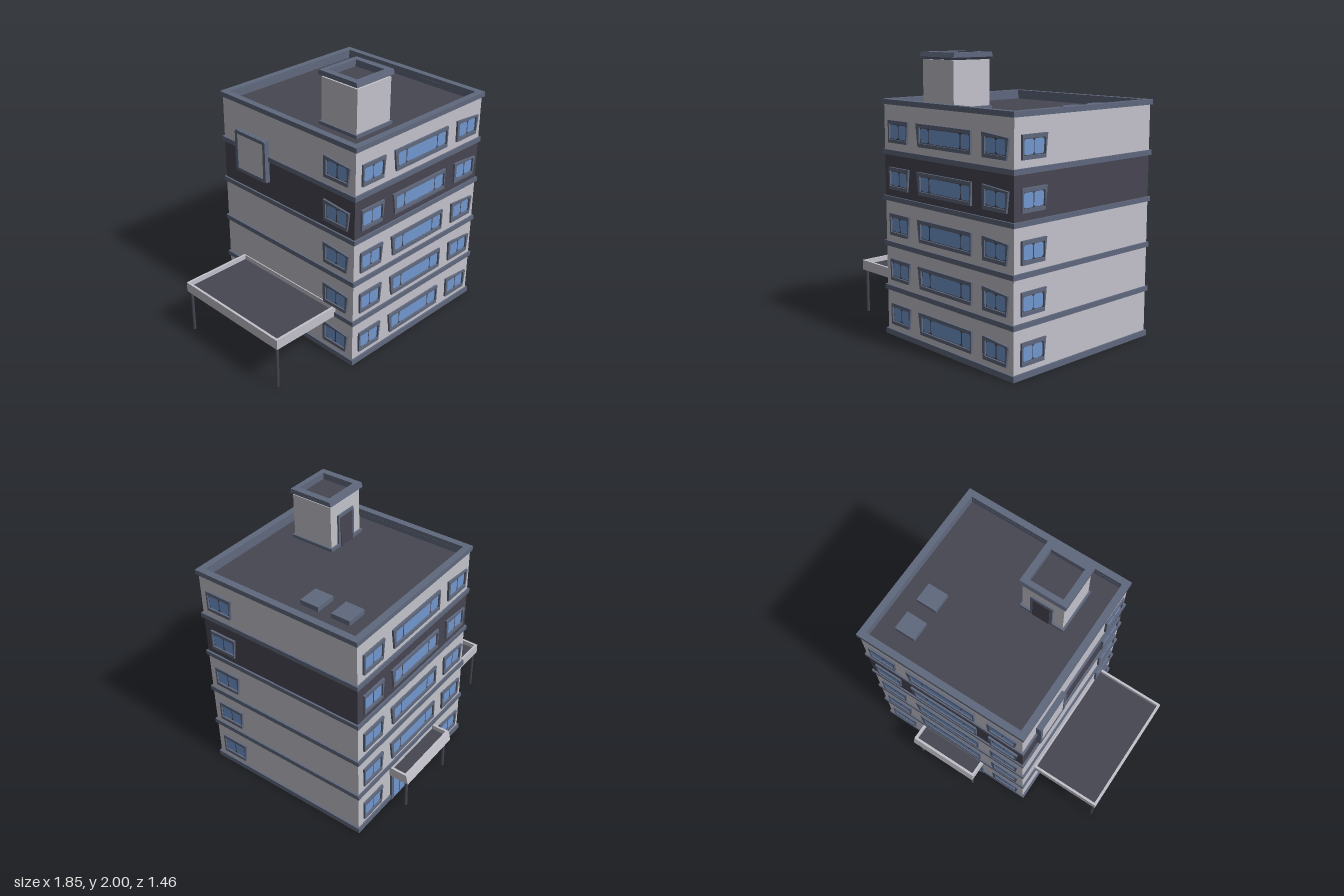
import * as THREE from 'three';

const mat = (name, color) => {
  const m = new THREE.MeshStandardMaterial({ color });
  m.name = name;
  return m;
};

export function createModel() {
  const wall = mat('pale wall', 0xc3c2cb);
  const trim = mat('slate trim', 0x60687e);
  const dark = mat('dark panel', 0x474652);
  const glass = mat('blue glass', 0x7198d0);
  const model = new THREE.Group();
  model.name = 'officeBuilding';

  // Building footprint
  const X0 = -0.38, X1 = 0.905, Z0 = -0.575, Z1 = 0.715;
  const CX = (X0 + X1) / 2, CZ = (Z0 + Z1) / 2;
  const ROOF = 1.61;

  const add = (name, geo, material, parent = model) => {
    const m = new THREE.Mesh(geo, material);
    m.name = name;
    parent.add(m);
    return m;
  };
  // Box given by its extents
  const box = (name, x0, x1, y0, y1, z0, z1, material, parent) => {
    const g = new THREE.BoxGeometry(x1 - x0, y1 - y0, z1 - z0);
    g.translate((x0 + x1) / 2, (y0 + y1) / 2, (z0 + z1) / 2);
    return add(name, g, material, parent);
  };
  const poly = (pts, Type = THREE.Shape) => new Type(pts.map(p => new THREE.Vector2(...p)));
  const rect = (x0, x1, y0, y1) => [[x0, y0], [x1, y0], [x1, y1], [x0, y1]];
  // Horizontal rectangular ring of wall thickness t
  const ring = (name, x0, x1, y0, y1, z0, z1, t, material, parent) => {
    const s = poly(rect(x0, x1, -z1, -z0));
    s.holes.push(poly(rect(x0 + t, x1 - t, -z1 + t, -z0 - t), THREE.Path));
    const g = new THREE.ExtrudeGeometry(s, { depth: y1 - y0, bevelEnabled: false });
    g.rotateX(-Math.PI / 2).translate(0, y0, 0);
    return add(name, g, material, parent);
  };

  // Storeys and slate bands
  const bands = [[0, 0.04], [0.33, 0.365], [0.65, 0.685], [0.975, 1.008], [1.298, 1.333]];
  const levels = [0.01, 0.347, 0.667, 0.99, 1.315, ROOF];
  for (let i = 0; i < 5; i++) {
    box('storey', X0, X1, levels[i], levels[i + 1], Z0, Z1, i === 3 ? dark : wall);
    const [a, b] = bands[i];
    box('floorBand', X0 - 0.013, X1 + 0.013, a, b, Z0 - 0.012, Z1 + 0.013, trim);
  }

  // Roof and parapet
  box('roofDeck', X0 + 0.03, X1 - 0.03, ROOF, ROOF + 0.004, Z0 + 0.03, Z1 - 0.03, dark);
  ring('parapetWall', X0, X1, ROOF, 1.65, Z0, Z1, 0.02, wall);
  ring('parapetLining', X0 + 0.02, X1 - 0.02, ROOF, 1.65, Z0 + 0.02, Z1 - 0.02, 0.015, trim);
  ring('parapetCap', X0 - 0.015, X1 + 0.015, 1.645, 1.68, Z0 - 0.012, Z1 + 0.015, 0.049, trim);
  for (const z of [-0.40, -0.155]) {
    box('roofVent', 0.59, 0.745, ROOF, 1.65, z, z + 0.143, trim);
  }

  // Stair tower on the roof
  const tower = new THREE.Group();
  tower.name = 'stairTower';
  model.add(tower);
  box('towerBase', -0.193, 0.153, ROOF, 1.638, 0.197, 0.542, trim, tower);
  box('towerBody', -0.18, 0.14, ROOF, 1.95, 0.21, 0.53, wall, tower);
  box('towerRoof', -0.16, 0.12, 1.95, 1.953, 0.23, 0.51, dark, tower);
  const cap = ring('towerCap', -0.197, 0.157, 1.94, 2, 0.193, 0.543, 0.048, trim, tower);
  // Cap sides lean inward towards the top and back to the walls below
  const cp = cap.geometry.attributes.position;
  for (let i = 0; i < cp.count; i++) {
    const out = Math.abs(cp.getX(i) + 0.02) > 0.15 || Math.abs(cp.getZ(i) - 0.368) > 0.15;
    if (out && cp.getY(i) > 1.97) cp.setZ(i, 0.368 + (cp.getZ(i) - 0.368) * 0.95);
    if (out && cp.getY(i) < 1.97) cp.setY(i, 1.967);
  }
  cap.geometry.computeVertexNormals();
  box('towerDoorFrame', -0.10, 0.07, ROOF, 1.86, 0.197, 0.215, trim, tower);
  box('towerDoor', -0.08, 0.05, ROOF, 1.84, 0.193, 0.2, dark, tower);

  // Window types: slanted frame outline and pane spans
  const types = {
    slim: {
      outline: [[-0.105, -0.076], [0.095, -0.076], [0.112, 0.078], [-0.105, 0.078]],
      panes: [[-0.087, -0.003], [0.003, 0.086]],
    },
    wide: {
      outline: [[-0.265, -0.078], [0.26, -0.076], [0.263, 0.078], [-0.285, 0.078]],
      panes: [[-0.245, -0.165], [-0.157, 0.152], [0.16, 0.245]],
    },
    wedge: {
      outline: [[-0.115, -0.078], [0.1, -0.078], [0.117, 0.06], [-0.12, 0.08]],
      panes: [[-0.09, -0.003], [0.005, 0.087]],
    },
  };
  // Pane with clipped corners
  const paneShape = (a, b, h, c = 0.012) => poly([
    [a + c, -h], [b - c, -h], [b, -h + c], [b, h - c], [b - c, h], [a + c, h], [a, h - c], [a, -h + c]]);
  const H = 0.048;
  for (const t of Object.values(types)) {
    const a = t.panes[0][0] - 0.006, b = t.panes.at(-1)[1] + 0.006;
    const s = poly(t.outline);
    s.holes.push(poly(rect(a, b, -H - 0.005, H + 0.005), THREE.Path));
    t.frame = new THREE.ExtrudeGeometry(s, { depth: 0.015, bevelEnabled: false });
    t.back = new THREE.ShapeGeometry(poly(rect(a, b, -H - 0.005, H + 0.005))).translate(0, 0, 0.002);
    t.glass = new THREE.ShapeGeometry(t.panes.map(([p, q]) => paneShape(p, q, H))).translate(0, 0, 0.006);
  }
  const addWindow = (parent, type, x, y) => {
    const w = new THREE.Group();
    w.name = 'window';
    w.position.set(x, y, 0);
    add('windowFrame', types[type].frame, trim, w);
    add('windowRecess', types[type].back, dark, w);
    add('windowPanes', types[type].glass, glass, w);
    parent.add(w);
  };

  // Facades: turn about the building centre, windows per storey
  const row = [['slim', -0.482], ['wide', 0.003], ['wedge', 0.488]];
  const facades = [
    ['frontFacade', 0, row],
    ['backFacade', Math.PI, row],
    ['leftFacade', Math.PI / 2, [row[0]]],
    ['rightFacade', -Math.PI / 2, [row[2]]],
  ];
  for (const [name, turn, list] of facades) {
    const f = new THREE.Group();
    f.name = name;
    const d = Math.abs(Math.sin(turn)) > 0.5 ? (X1 - X0) / 2 : (Z1 - Z0) / 2;
    f.position.set(CX + Math.sin(turn) * d, 0, CZ + Math.cos(turn) * d);
    f.rotation.y = turn;
    for (let i = 0; i < 5; i++) {
      for (const [type, x] of list) {
        if (name === 'backFacade' && type === 'wide' && i === 0) continue; // entrance here
        addWindow(f, type, x, 0.16 + i * 0.325);
      }
    }
    model.add(f);
  }

  // Glazed entrance at the back
  const entrance = new THREE.Group();
  entrance.name = 'entrance';
  model.add(entrance);
  box('entranceFrame', -0.01, 0.53, 0, 0.265, -0.592, -0.57, trim, entrance);
  for (const [a, b] of [[0.01, 0.075], [0.09, 0.255], [0.265, 0.43], [0.445, 0.51]]) {
    box('entranceGlass', a, b, 0.015, 0.25, -0.596, -0.59, glass, entrance);
  }

  // Canopies: shallow trays on slim posts
  const canopy = (name, x0, x1, y0, y1, z0, z1, posts) => {
    const g = new THREE.Group();
    g.name = name;
    model.add(g);
    const rim = ring('canopyRim', x0, x1, y0, y1, z0, z1, 0.018, wall, g);
    box('canopySlab', x0 + 0.01, x1 - 0.01, y0 + 0.004, y0 + 0.035, z0 + 0.01, z1 - 0.01, wall, g);
    box('canopyRoof', x0 + 0.016, x1 - 0.016, y0 + 0.035, y0 + 0.04, z0 + 0.016, z1 - 0.016, dark, g);
    for (const [x, z] of posts) {
      const post = add('canopyPost', new THREE.CylinderGeometry(0.012, 0.012, y0 + 0.01, 8), dark, g);
      post.position.set(x, (y0 + 0.01) / 2, z);
    }
    return rim;
  };
  canopy('sideCanopy', -0.927, X0 + 0.01, 0.33, 0.405, -0.41, 0.55, [[-0.905, -0.385], [-0.905, 0.525]]);
  const rim = canopy('entranceCanopy', -0.015, 0.54, 0.25, 0.325, -0.715, Z0 + 0.01, [[0.02, -0.697], [0.505, -0.697]]);
  // Flare the lower front edge of the entrance canopy
  const rp = rim.geometry.attributes.position;
  for (let i = 0; i < rp.count; i++) {
    if (rp.getZ(i) < -0.71 && rp.getY(i) < 0.29) rp.setZ(i, -0.732);
  }
  rim.geometry.computeVertexNormals();

  // Plain wall panel on the right side
  const panel = new THREE.Group();
  panel.name = 'wallPanel';
  model.add(panel);
  box('panelBoard', -0.41, X0, 1.135, 1.45, -0.412, -0.098, trim, panel);
  box('panelFace', -0.415, -0.409, 1.16, 1.425, -0.387, -0.123, wall, panel);
  const edge = poly([[-0.145, -0.157], [0.145, -0.157], [0.157, -0.145], [0.157, 0.145],
    [0.145, 0.157], [-0.145, 0.157], [-0.157, 0.145], [-0.157, -0.145]]);
  edge.holes.push(poly(rect(-0.132, 0.132, -0.132, 0.132), THREE.Path));
  const rimGeo = new THREE.ExtrudeGeometry(edge, { depth: 0.014, bevelEnabled: false });
  const panelRim = add('panelRim', rimGeo, trim, panel);
  panelRim.rotation.y = -Math.PI / 2;
  panelRim.position.set(-0.406, 1.2925, -0.255);

  return model;
}
